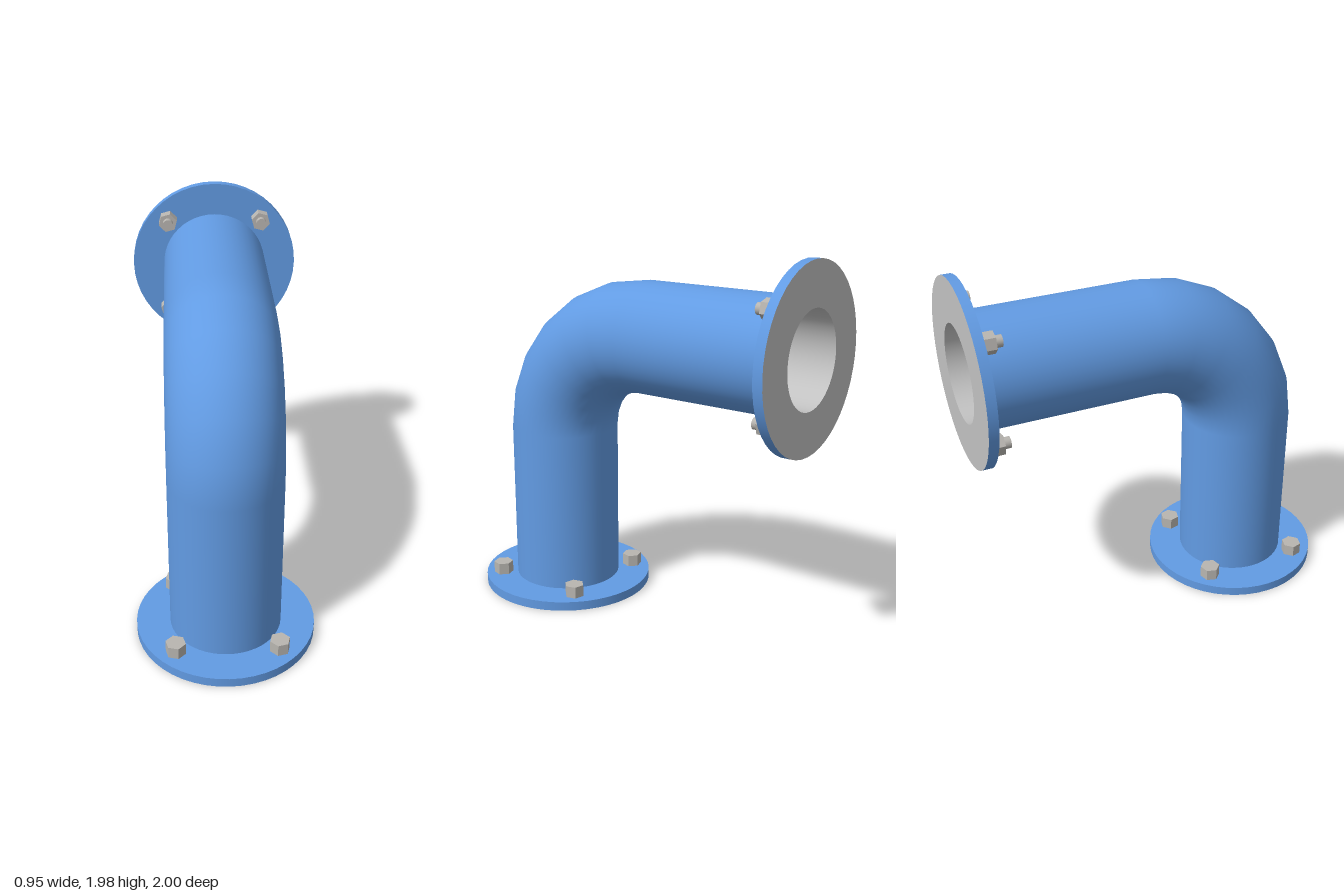
import * as THREE from 'three';

const PIPE_R = 0.296, BORE_R = 0.248, FLANGE_R = 0.475, THICK = 0.05;
const BEND_R = 0.565, BEND_Y = 0.935, BEND_Z = -0.04, SIDES = 48;

// Sweep a circle along the elbow: straight leg, six-step bend, straight leg.
function elbowGeometry(radius, inward) {
  const stations = [{ y: 0, z: BEND_Z + BEND_R, t: 0 }];
  for (let i = 0; i <= 6; i++) {
    const t = (i / 6) * Math.PI / 2;
    stations.push({ y: BEND_Y + BEND_R * Math.sin(t), z: BEND_Z + BEND_R * Math.cos(t), t });
  }
  stations.push({ y: BEND_Y + BEND_R, z: -1, t: Math.PI / 2 });

  const positions = [], normals = [], index = [];
  const sign = inward ? -1 : 1;
  stations.forEach(({ y, z, t }, i) => {
    for (let j = 0; j < SIDES; j++) {
      const a = (j / SIDES) * Math.PI * 2;
      const n = [Math.cos(a), Math.sin(a) * Math.sin(t), Math.sin(a) * Math.cos(t)];
      positions.push(radius * n[0], y + radius * n[1], z + radius * n[2]);
      normals.push(sign * n[0], sign * n[1], sign * n[2]);
      if (i === stations.length - 1) continue;
      const p = i * SIDES + j, q = i * SIDES + (j + 1) % SIDES;
      const r = p + SIDES, s = q + SIDES;
      if (inward) index.push(p, q, r, q, s, r);
      else index.push(p, r, q, q, r, s);
    }
  });
  const geometry = new THREE.BufferGeometry();
  geometry.setAttribute('position', new THREE.Float32BufferAttribute(positions, 3));
  geometry.setAttribute('normal', new THREE.Float32BufferAttribute(normals, 3));
  geometry.setIndex(index);
  return geometry;
}

function addMesh(parent, name, geometry, material, y = 0) {
  const mesh = new THREE.Mesh(geometry, material);
  mesh.name = name;
  mesh.position.y = y;
  parent.add(mesh);
  return mesh;
}

export function createModel() {
  const blue = new THREE.MeshStandardMaterial({ color: 0x629be3 });
  blue.name = 'blue paint';
  const bare = new THREE.MeshStandardMaterial({ color: 0xc2c2c2 });
  bare.name = 'bare metal';
  const steel = new THREE.MeshStandardMaterial({ color: 0xb8b5b0 });
  steel.name = 'bolt steel';

  const model = new THREE.Group();
  model.name = 'pipeElbow';
  addMesh(model, 'pipe', elbowGeometry(PIPE_R, false), blue);
  addMesh(model, 'bore', elbowGeometry(BORE_R, true), bare);

  // Flange with its mating face at y = 0 and four fasteners on top
  function makeFlange(name, withStuds) {
    const flange = new THREE.Group();
    flange.name = name;
    const rim = new THREE.CylinderGeometry(FLANGE_R, FLANGE_R, THICK, SIDES, 1, true);
    addMesh(flange, 'flangeRim', rim, blue, THICK / 2);
    const top = new THREE.RingGeometry(PIPE_R - 0.01, FLANGE_R, SIDES).rotateX(-Math.PI / 2);
    addMesh(flange, 'flangeTop', top, blue, THICK);
    const face = new THREE.RingGeometry(BORE_R, FLANGE_R, SIDES).rotateX(Math.PI / 2);
    addMesh(flange, 'matingFace', face, bare);

    for (let i = 0; i < 4; i++) {
      const a = Math.PI / 4 + i * Math.PI / 2;
      const bolt = new THREE.Group();
      bolt.name = withStuds ? 'nutAndStud' : 'boltHead';
      bolt.position.set(0.379 * Math.cos(a), THICK, 0.379 * Math.sin(a));
      bolt.rotation.y = -a;
      const hex = new THREE.CylinderGeometry(0.054, 0.054, 0.065, 6).rotateY(Math.PI / 2);
      addMesh(bolt, 'hexagon', hex.toNonIndexed(), steel, 0.0325).geometry.computeVertexNormals();
      if (withStuds) {
        addMesh(bolt, 'stud', new THREE.CylinderGeometry(0.029, 0.029, 0.1, 20), steel, 0.05);
      }
      flange.add(bolt);
    }
    model.add(flange);
    return flange;
  }

  makeFlange('bottomFlange', false).position.set(0, 0, BEND_Z + BEND_R);
  const back = makeFlange('backFlange', true);
  back.position.set(0, BEND_Y + BEND_R, -1);
  back.rotation.x = Math.PI / 2;

  return model;
}
